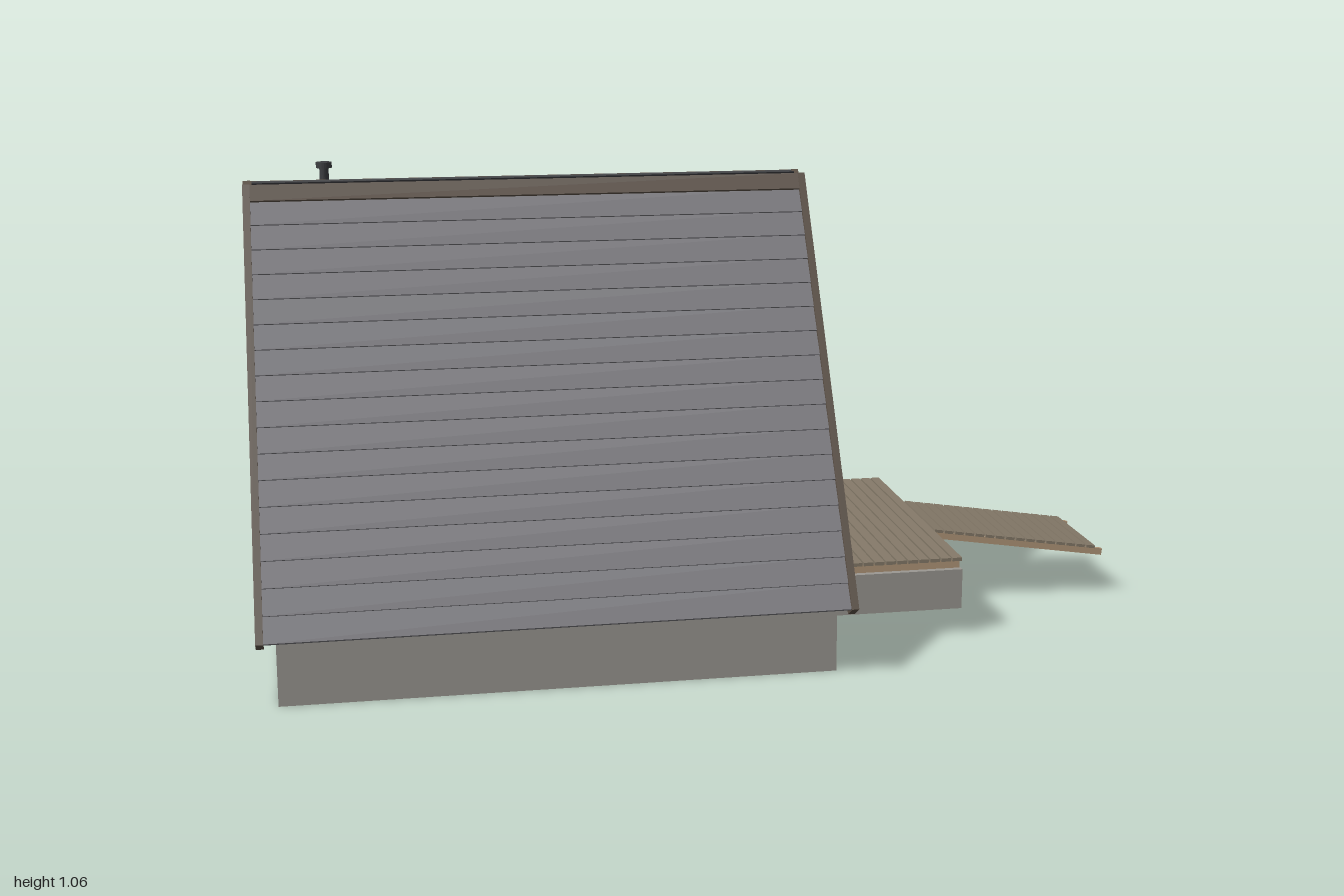
import * as THREE from 'three';

const mat = (color) => new THREE.MeshStandardMaterial({ color, flatShading: true });
const concrete = mat(0x9b9892), slate = mat(0x77767b), darkWood = mat(0x5b5046), plankWood = mat(0x857a69),
  tan = mat(0xb3987a), doorWood = mat(0xc9ab84), wallWood = mat(0x7d6145), glass = mat(0xadbccb),
  metal = mat(0x3c3d40), paleWood = mat(0xd6c49c);

// Box from its minimum and maximum corners
function box(parent, name, material, [x0, x1], [y0, y1], [z0, z1]) {
  const m = new THREE.Mesh(new THREE.BoxGeometry(x1 - x0, y1 - y0, z1 - z0), material);
  m.position.set((x0 + x1) / 2, (y0 + y1) / 2, (z0 + z1) / 2);
  m.name = name;
  parent.add(m);
  return m;
}

function cylinder(parent, name, material, r, [y0, y1], x, z) {
  const m = new THREE.Mesh(new THREE.CylinderGeometry(r, r, y1 - y0, 20), material);
  m.position.set(x, (y0 + y1) / 2, z);
  m.name = name;
  parent.add(m);
}

const APEX = 1.009, PITCH = 1.01, SLOPE = 1.033, MID = -0.365, HALF = 0.635;
const halfWidth = (y) => (APEX - y) * 0.628;       // inside of the roof at height y
const roofHeight = (z) => APEX - Math.abs(z) / 0.628;

// Triangular wall filling the gable, from x to x + depth
function gable(parent, name, material, x, depth, y0) {
  const w = halfWidth(y0);
  const s = new THREE.Shape([new THREE.Vector2(-w, y0), new THREE.Vector2(w, y0), new THREE.Vector2(0, APEX)]);
  const m = new THREE.Mesh(new THREE.ExtrudeGeometry(s, { depth, bevelEnabled: false }), material);
  m.rotation.y = Math.PI / 2;
  m.position.x = x;
  m.name = name;
  parent.add(m);
}

// One roof slope; local z runs down the slope and local y points outward
function roofSlope(side) {
  const slope = new THREE.Group();
  slope.name = side > 0 ? 'roofSlopeFront' : 'roofSlopeBack';
  const tilt = new THREE.Group();
  tilt.rotation.x = PITCH;
  slope.add(tilt);
  slope.position.set(MID, APEX, 0);
  if (side < 0) slope.rotation.y = Math.PI;
  box(tilt, 'roofDeck', darkWood, [-HALF + 0.01, HALF - 0.01], [0.002, 0.026], [0.002, SLOPE - 0.008]);
  // Overlapping courses, each lifted at its lower edge
  const n = 17, step = (SLOPE - 0.04) / n;
  for (let i = 0; i < n; i++) {
    const z = 0.036 + i * step;
    const c = box(tilt, 'roofCourse', slate, [-HALF + 0.006, HALF - 0.006], [0.026, 0.034], [z - 0.002, z + step + 0.002]);
    c.rotation.x = -0.07;
  }
  for (const e of [-1, 1]) {
    const x = e * (HALF - 0.008);
    box(tilt, 'bargeBoard', darkWood, [x - 0.008, x + 0.008], [0, 0.04], [0, SLOPE]);
  }
  box(tilt, 'ridgeBoard', darkWood, [-HALF + 0.003, HALF - 0.003], [0.004, 0.0395], [0.001, 0.04]);
  return slope;
}

export function createModel() {
  const house = new THREE.Group();
  house.name = 'cabin';

  // Foundations and floor
  box(house, 'foundation', concrete, [-0.96, 0.235], [0, 0.147], [-0.53, 0.53]);
  box(house, 'floor', tan, [-0.955, 0.23], [0.147, 0.187], [-0.52, 0.52]);
  box(house, 'deckFoundation', concrete, [0.235, 0.575], [0.062, 0.155], [-0.35, 0.35]);

  // Roof with thin flashing in the ridge valley
  for (const s of [1, -1]) {
    house.add(roofSlope(s));
    const f = box(house, 'ridgeFlashing', metal, [-0.98, 0.25], [1.004, 1.032], [s * 0.008 - 0.0015, s * 0.008 + 0.0015]);
    f.rotation.x = s * 0.45;
  }

  // Glazed gable with its frame
  gable(house, 'gableGlass', glass, 0.212, 0.008, 0.187);
  const front = [0.208, 0.234], t = 0.007;
  for (const s of [-1, 1]) {
    for (const z of [0.08, 0.285]) {
      box(house, 'mullion', darkWood, front, [0.187, roofHeight(z)], [s * z - t, s * z + t]);
    }
  }
  for (const y of [0.192, 0.45, 0.715]) {
    const w = halfWidth(y);
    box(house, 'transom', darkWood, front, [y - t, y + t], [-w, w]);
  }
  box(house, 'door', doorWood, [0.21, 0.229], [0.198, 0.444], [-0.073, 0.073]);

  // Rear gable with a small window
  gable(house, 'rearWall', wallWood, -0.955, 0.02, 0.187);
  box(house, 'rearWindowFrame', darkWood, [-0.964, -0.94], [0.505, 0.64], [-0.066, 0.066]);
  box(house, 'rearWindowGlass', glass, [-0.967, -0.945], [0.518, 0.627], [-0.053, 0.053]);

  // Chimney pipe
  cylinder(house, 'chimneyPipe', metal, 0.0105, [0.75, 1.046], -0.82, -0.12);
  cylinder(house, 'chimneyCap', metal, 0.018, [1.046, 1.059], -0.82, -0.12);

  // Lamp post beside the door
  box(house, 'lampPost', paleWood, [0.245, 0.257], [0.184, 0.458], [0.142, 0.154]);
  box(house, 'lamp', paleWood, [0.241, 0.261], [0.458, 0.485], [0.138, 0.158]);
  box(house, 'lampCap', metal, [0.238, 0.264], [0.485, 0.49], [0.135, 0.161]);

  // Deck: joists along x carrying boards along z
  const deck = new THREE.Group();
  deck.name = 'deck';
  for (const z of [-0.33, 0, 0.33]) {
    box(deck, 'deckJoist', tan, [0.236, 0.572], [0.155, 0.176], [z - 0.006, z + 0.006]);
  }
  const pitch = 0.026;
  for (let i = 0; i < 13; i++) {
    const x = 0.238 + i * pitch;
    box(deck, 'deckBoard', plankWood, [x, x + pitch - 0.004], [0.176, 0.184], [-0.353, 0.353]);
  }
  house.add(deck);

  // Sloping ramp with side rails beneath its boards
  const ramp = new THREE.Group();
  ramp.name = 'ramp';
  ramp.position.set(0.575, 0.184, 0);
  ramp.rotation.z = -0.152;
  for (const z of [-0.118, 0.118]) {
    box(ramp, 'rampRail', tan, [0, 0.432], [-0.023, -0.007], [z - 0.005, z + 0.005]);
  }
  for (let i = 0; i < 16; i++) {
    const x = 0.002 + i * 0.0258;
    box(ramp, 'rampBoard', plankWood, [x, x + 0.0215], [-0.007, 0], [-0.128, 0.128]);
  }
  house.add(ramp);
  return house;
}
